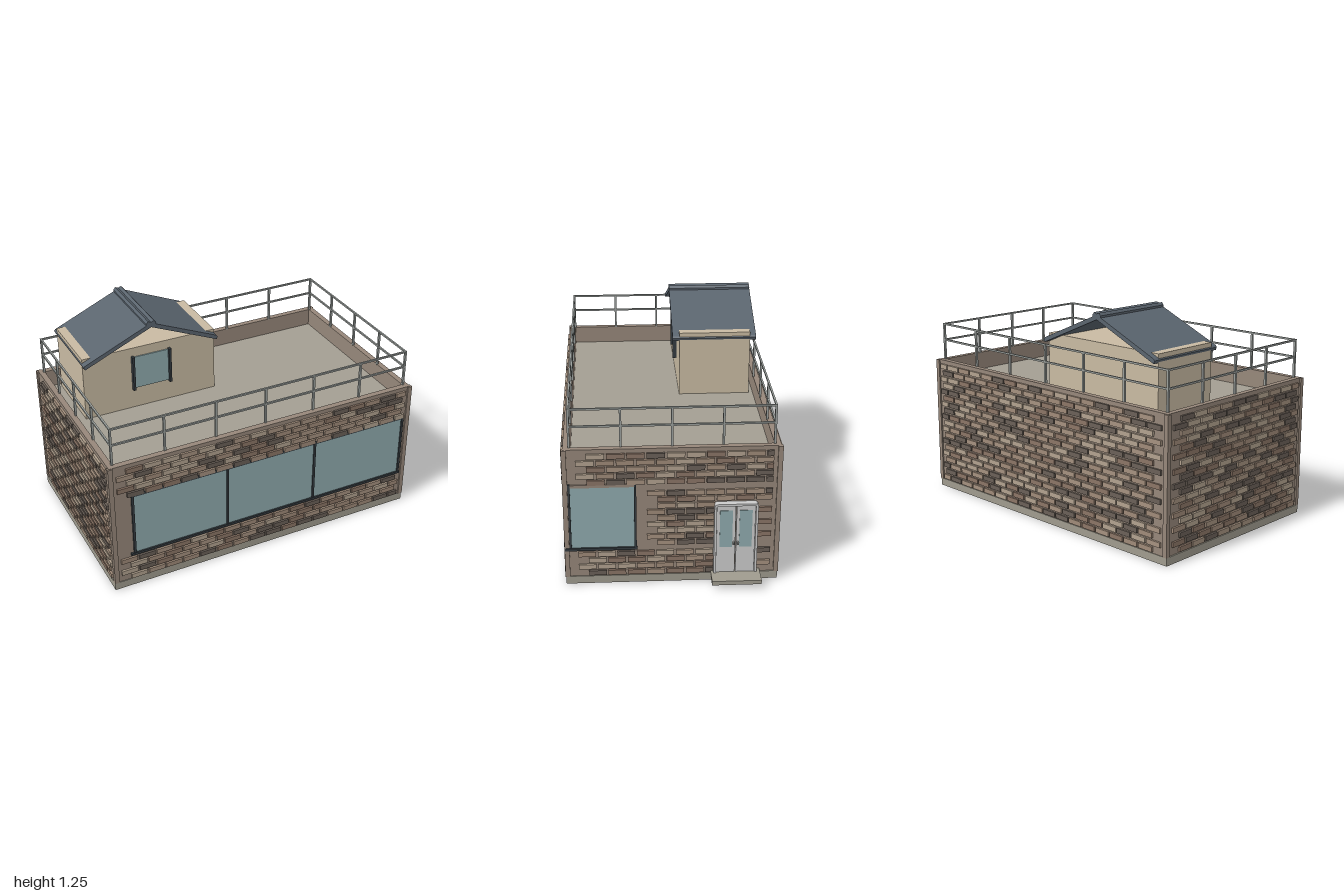
import * as THREE from 'three';
import { mergeGeometries } from 'three/addons/utils/BufferGeometryUtils.js';

const COLORS = {
  wall: 0x96877a, stone: 0x9f9b8e, deck: 0xa39e92, hut: 0xc8baa2, slate: 0x5a646e,
  dark: 0x343b40, glass: 0x8fabae, rail: 0x9a9f9c, door: 0xc6cac6,
};
const BRICKS = [0xb2a28f, 0x9f8a78, 0x8b7566, 0x6a6058, 0xa5917f];
const mats = {};
const mat = (c) => (mats[c] ??= new THREE.MeshStandardMaterial({ color: c }));

// Outer wall faces
const X0 = -0.985, X1 = 0.88, Z = 0.57;

// Box geometry from its limits on each axis
function boxGeo(x0, x1, y0, y1, z0, z1) {
  return new THREE.BoxGeometry(x1 - x0, y1 - y0, z1 - z0)
    .translate((x0 + x1) / 2, (y0 + y1) / 2, (z0 + z1) / 2);
}

export function createModel() {
  const root = new THREE.Group();
  root.name = 'house';
  const add = (name, color, geo, parent = root) => {
    const m = new THREE.Mesh(geo, mat(color));
    m.name = name;
    parent.add(m);
    return m;
  };
  const box = (name, color, ...b) => add(name, color, boxGeo(...b));
  const group = (name) => {
    const g = new THREE.Group();
    g.name = name;
    root.add(g);
    return g;
  };

  // Plinth, body and sunken roof deck with parapet
  box('plinth', COLORS.stone, -0.993, 0.886, 0, 0.045, -0.574, 0.574);
  box('wallBody', COLORS.wall, X0, X1, 0.045, 0.69, -Z, Z);
  box('roofDeck', COLORS.deck, X0 + 0.02, X1 - 0.02, 0.69, 0.7, -Z + 0.02, Z - 0.02);
  add('parapet', COLORS.wall, mergeGeometries([
    boxGeo(X0, X1, 0.69, 0.805, Z - 0.035, Z),
    boxGeo(X0, X1, 0.69, 0.805, -Z, -Z + 0.035),
    boxGeo(X0, X0 + 0.033, 0.69, 0.805, -Z + 0.035, Z - 0.035),
    boxGeo(X1 - 0.033, X1, 0.69, 0.805, -Z + 0.035, Z - 0.035),
  ]));
  for (const [x0, x1] of [[X0 - 0.009, X0 + 0.018], [X1 - 0.018, X1 + 0.009]])
    for (const s of [-1, 1]) {
      const z = s * (Z - 0.005);
      box('cornerPost', COLORS.wall, x0, x1, 0.045, 0.803, z - 0.013, z + 0.013);
    }

  // Raised bricks, gathered by colour
  let seed = 7;
  const rand = () => (seed = (seed * 16807) % 2147483647) / 2147483647;
  const bricks = BRICKS.map(() => []);
  const T = 0.012, H = 0.014;
  // Lays rows of bricks along one wall between u0 and u1
  function layRows(u0, u1, y0, y1, count, place) {
    for (let r = 0; r < count; r++) {
      const y = count > 1 ? y0 + (y1 - y0) * r / (count - 1) : y0;
      for (let u = u0 + (r % 2 ? 0 : 0.055); u < u1 - 0.03; u += 0.105) {
        const e = Math.min(u + 0.095, u1);
        bricks[Math.floor(rand() * BRICKS.length)].push(place(u, e, y));
      }
    }
  }
  const front = (a, b, y) => boxGeo(a, b, y - H, y + H, Z - 0.002, Z + T);
  const back = (a, b, y) => boxGeo(a, b, y - H, y + H, -Z - T, -Z + 0.002);
  const left = (a, b, y) => boxGeo(X1 - 0.002, X1 + T, y - H, y + H, -b, -a);
  const right = (a, b, y) => boxGeo(X0 - T, X0 + 0.002, y - H, y + H, a, b);
  layRows(-0.95, 0.845, 0.066, 0.182, 4, front);
  layRows(-0.95, 0.845, 0.615, 0.767, 5, front);
  layRows(-0.95, 0.845, 0.066, 0.767, 19, back);
  layRows(-0.53, 0.53, 0.066, 0.767, 19, right);
  // Entrance side: around the window and the door
  layRows(-0.505, 0.225, 0.066, 0.182, 4, left);
  layRows(0.45, 0.53, 0.066, 0.182, 4, left);
  layRows(-0.135, 0.225, 0.245, 0.47, 7, left);
  layRows(0.45, 0.53, 0.245, 0.47, 7, left);
  layRows(-0.135, 0.53, 0.508, 0.545, 2, left);
  layRows(-0.505, 0.53, 0.615, 0.767, 5, left);
  bricks.forEach((list, i) => list.length && add('bricks', BRICKS[i], mergeGeometries(list)));

  // Long front window
  box('frontGlass', COLORS.glass, -0.865, 0.845, 0.22, 0.595, Z - 0.01, Z + 0.003);
  for (const x of [-0.866, -0.303, 0.25, 0.842])
    box('frontMullion', COLORS.dark, x - 0.007, x + 0.007, 0.215, 0.605, Z - 0.01, Z + 0.009);
  box('frontSill', COLORS.dark, -0.89, 0.85, 0.208, 0.222, Z - 0.01, Z + 0.012);
  box('frontHead', COLORS.dark, -0.87, 0.85, 0.592, 0.608, Z - 0.01, Z + 0.007);

  // Side window next to the front corner
  box('sideGlass', COLORS.glass, X1 - 0.01, X1 + 0.003, 0.22, 0.587, 0.2, 0.545);
  for (const z of [0.197, 0.545])
    box('sideMullion', COLORS.dark, X1 - 0.01, X1 + 0.01, 0.21, 0.605, z - 0.006, z + 0.006);
  box('sideSill', COLORS.dark, X1 - 0.01, X1 + 0.013, 0.207, 0.222, 0.188, 0.575);
  box('sideHead', COLORS.wall, X1 - 0.01, X1 + 0.008, 0.585, 0.602, 0.2, 0.54);

  // Double door with rounded frame, and its step
  const frame = new THREE.Shape();
  frame.moveTo(0.222, 0.055).lineTo(0.456, 0.055).lineTo(0.456, 0.462)
    .quadraticCurveTo(0.456, 0.482, 0.436, 0.482).lineTo(0.242, 0.482)
    .quadraticCurveTo(0.222, 0.482, 0.222, 0.462);
  const opening = new THREE.Path();
  opening.moveTo(0.235, 0.056).lineTo(0.235, 0.469).lineTo(0.443, 0.469).lineTo(0.443, 0.056);
  frame.holes.push(opening);
  add('doorFrame', COLORS.door,
    new THREE.ExtrudeGeometry(frame, { depth: 0.037, bevelEnabled: false, curveSegments: 5 })
      .rotateY(Math.PI / 2).translate(X1 - 0.002, 0, 0));
  for (const s of [-1, 1]) {
    const zc = -0.339 + s * 0.0525;
    box('doorLeaf', COLORS.door, X1 - 0.002, 0.905, 0.056, 0.467, zc - 0.05, zc + 0.05);
    box('doorGlass', COLORS.glass, 0.9, 0.908, 0.217, 0.44, zc - 0.034, zc + 0.034);
    const zh = -0.339 + s * 0.012;
    box('doorHandle', COLORS.rail, 0.9, 0.922, 0.236, 0.25, zh - 0.004, zh + 0.004);
  }
  box('doorStep', COLORS.stone, X1 - 0.002, 1, 0.036, 0.06, -0.475, -0.208);

  // Terrace railing
  const railing = group('railing');
  const RX0 = -0.955, RX1 = 0.85, RZ = 0.537, R = 0.006;
  const posts = [];
  for (let i = 0; i <= 6; i++)
    for (const z of [-RZ, RZ]) posts.push([RX0 + (RX1 - RX0) * i / 6, z]);
  for (let i = 1; i < 4; i++)
    for (const x of [RX0, RX1]) posts.push([x, -RZ + RZ * i / 2]);
  for (const [x, z] of posts)
    add('railPost', COLORS.rail, boxGeo(x - R, x + R, 0.803, 1.025, z - R, z + R), railing);
  for (const y of [0.924, 1.021]) {
    const h = 0.005;
    for (const z of [-RZ, RZ])
      add('rail', COLORS.rail, boxGeo(RX0 - R, RX1 + R, y - h, y + h, z - h, z + h), railing);
    for (const x of [RX0, RX1])
      add('rail', COLORS.rail, boxGeo(x - h, x + h, y - h, y + h, -RZ, RZ), railing);
  }

  // Rooftop hut with window
  box('hut', COLORS.hut, -0.865, -0.055, 0.695, 1.085, -0.51, -0.095);
  box('hutGlass', COLORS.glass, -0.565, -0.345, 0.828, 1.028, -0.1, -0.088);
  for (const x of [-0.568, -0.343])
    box('hutWindowBar', COLORS.dark, x - 0.007, x + 0.007, 0.82, 1.035, -0.1, -0.072);

  // Open gabled roof: two thin slabs and a ridge cap
  const extrudeRoof = (name, pts) => {
    const shape = new THREE.Shape(pts.map(([x, y]) => new THREE.Vector2(x, y)));
    const geo = new THREE.ExtrudeGeometry(shape, { depth: 0.49, bevelEnabled: false });
    add(name, COLORS.slate, geo.translate(-0.46, 0, -0.545));
  };
  for (const s of [-1, 1])
    extrudeRoof('roofSlab', [[0, 1.238], [s * 0.402, 1.064], [s * 0.41, 1.055], [s * 0.403, 1.038], [0, 1.212]]);
  extrudeRoof('ridgeCap', [[-0.03, 1.222], [0.03, 1.222], [0.03, 1.236], [0.018, 1.25],
    [0, 1.242], [-0.018, 1.25], [-0.03, 1.236]]);

  return root;
}
